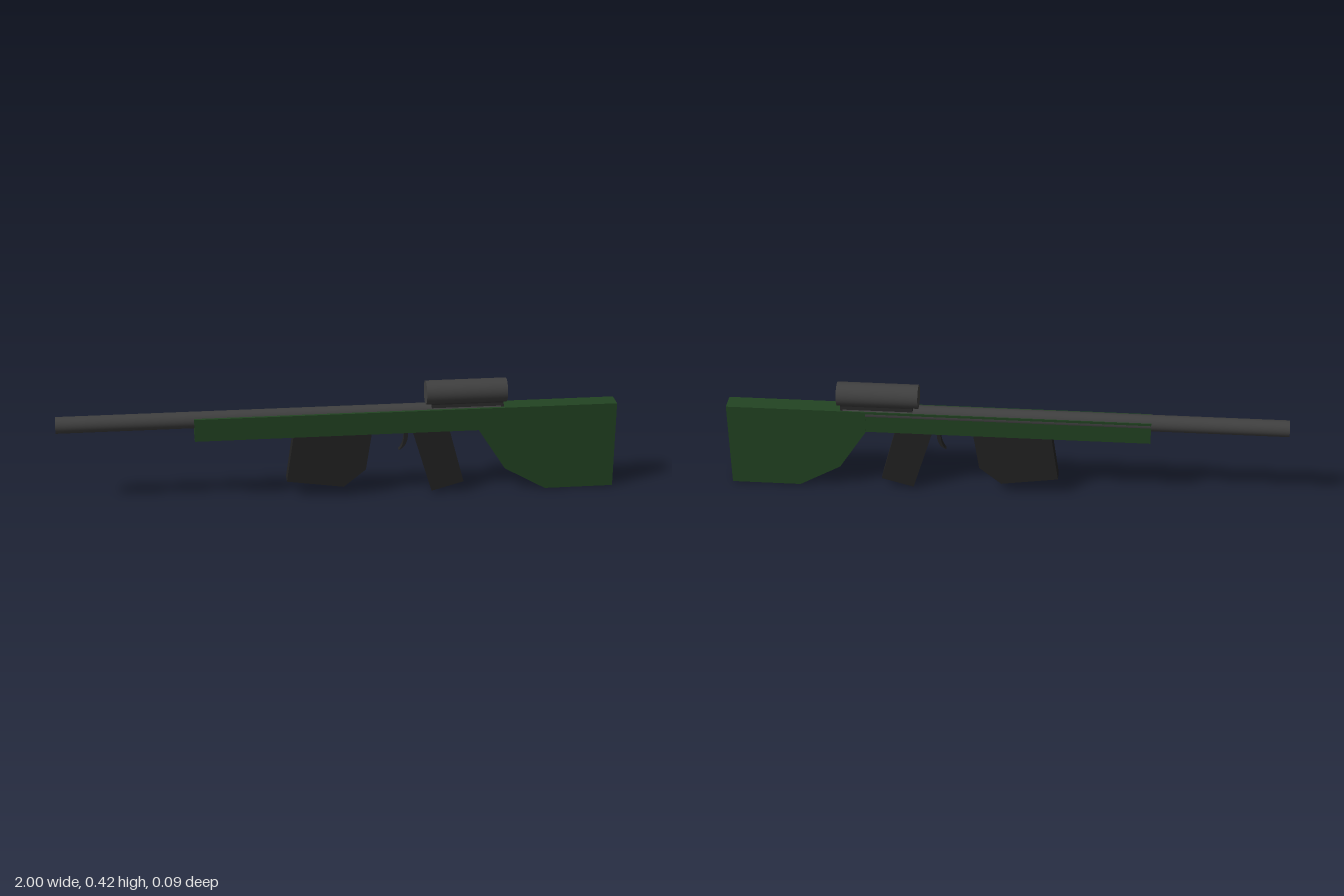
import * as THREE from 'three';

const mat = (name, color) => {
  const m = new THREE.MeshStandardMaterial({ color });
  m.name = name;
  return m;
};

export function createModel() {
  const group = new THREE.Group();
  const green = mat('dark green', 0x224422);
  const grey = mat('gunmetal grey', 0x404040);
  const black = mat('near black', 0x222222);

  const add = (name, geometry, material) => {
    const mesh = new THREE.Mesh(geometry, material);
    mesh.name = name;
    group.add(mesh);
    return mesh;
  };

  // Side outline (x, y) extruded between two z values
  const slab = (name, points, z0, z1, material) => {
    const shape = new THREE.Shape(points.map(([x, y]) => new THREE.Vector2(x, y)));
    const geo = new THREE.ExtrudeGeometry(shape, { depth: z1 - z0, bevelEnabled: false });
    return add(name, geo.translate(0, 0, z0), material);
  };

  // Round bar lying along x
  const bar = (name, x0, x1, y, radius, material) => {
    const geo = new THREE.CylinderGeometry(radius, radius, x1 - x0, 32);
    return add(name, geo.rotateZ(Math.PI / 2).translate((x0 + x1) / 2, y, 0), material);
  };

  // Shoulder stock and fore-end
  slab('stock', [[0.5, 0.24], [0.6, 0.085], [0.75, 0], [1, 0], [1, 0.323], [0.5, 0.323]], -0.03, 0.036, green);
  slab('foreEnd', [[-0.515, 0.24], [0.5, 0.24], [0.5, 0.323], [-0.515, 0.323]], -0.029, 0.036, green);

  // Barrel and sight tube
  bar('barrel', -1, 0.58, 0.309, 0.0295, grey);
  bar('scope', 0.31, 0.6, 0.379, 0.043, grey);

  // Tapered scope mount, its cross-section running along x
  const mountShape = new THREE.Shape([
    [-0.028, 0.318], [0.028, 0.318], [0.018, 0.337], [0.018, 0.352], [-0.018, 0.352], [-0.018, 0.337],
  ].map(([z, y]) => new THREE.Vector2(z, y)));
  const mount = new THREE.ExtrudeGeometry(mountShape, { depth: 0.26, bevelEnabled: false });
  add('scopeMount', mount.rotateY(Math.PI / 2).translate(0.33, 0, 0), black);

  // Magazine and hand grip
  slab('magazine', [[-0.163, 0.25], [-0.19, 0.065], [0.015, 0.035], [0.095, 0.1], [0.117, 0.25]], -0.023, 0.026, black);
  slab('grip', [[0.26, 0.25], [0.335, 0.006], [0.451, 0.038], [0.393, 0.25]], -0.024, 0.03, black);

  // Curved trigger
  const trigger = new THREE.Shape();
  trigger.moveTo(0.233, 0.25);
  trigger.lineTo(0.247, 0.25);
  trigger.quadraticCurveTo(0.254, 0.18, 0.215, 0.165);
  trigger.quadraticCurveTo(0.238, 0.187, 0.233, 0.25);
  const triggerGeo = new THREE.ExtrudeGeometry(trigger, { depth: 0.02, bevelEnabled: false });
  add('trigger', triggerGeo.translate(0, 0, -0.008), black);

  return group;
}
